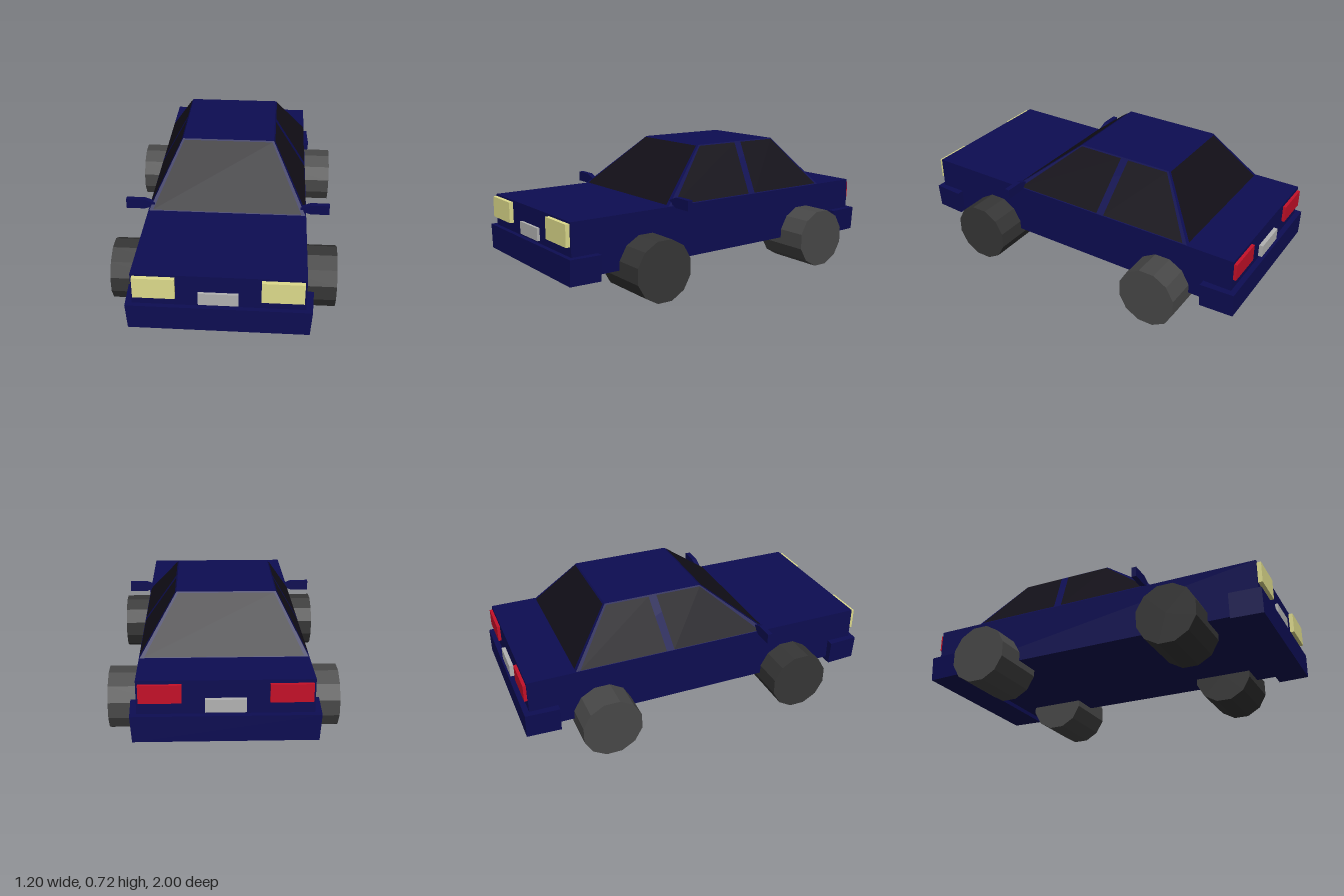
import * as THREE from 'three';

const mat = (color, side = THREE.FrontSide) =>
  new THREE.MeshStandardMaterial({ color, flatShading: true, side });

const paint = mat(0x0d0d52);
const glass = mat(0x120f18, THREE.DoubleSide);
const rubberFront = mat(0x363636);
const rubberRear = mat(0x484848);
const cream = mat(0xdedb8c);
const red = mat(0xc41028);
const plate = mat(0xb2b2b2);

export function createModel() {
  const car = new THREE.Group();
  car.name = 'car';

  const add = (name, geometry, material) => {
    const mesh = new THREE.Mesh(geometry, material);
    mesh.name = name;
    car.add(mesh);
    return mesh;
  };

  // Box given by its limits on each axis
  const block = (name, [x0, x1], [y0, y1], [z0, z1], material) => {
    const g = new THREE.BoxGeometry(x1 - x0, y1 - y0, z1 - z0);
    g.translate((x0 + x1) / 2, (y0 + y1) / 2, (z0 + z1) / 2);
    return add(name, g, material);
  };

  // Move every vertex of a mesh by a rule
  const reshape = (mesh, rule) => {
    const p = mesh.geometry.attributes.position;
    const v = new THREE.Vector3();
    for (let i = 0; i < p.count; i++) {
      rule(v.fromBufferAttribute(p, i));
      p.setXYZ(i, v.x, v.y, v.z);
    }
    mesh.geometry.computeVertexNormals();
  };

  // Lower body
  block('body', [-0.432, 0.432], [0.155, 0.443], [-0.97, 0.975], paint);

  // Cabin: a box narrowed to the roof outline
  const base = { x: [-0.43, 0.43], y: 0.44, z: [-0.71, 0.4] };
  const roof = { x: [-0.273, 0.243], y: 0.72, z: [-0.488, 0.058] };
  const cabin = block('cabin', base.x, [base.y, roof.y], base.z, paint);
  reshape(cabin, (v) => {
    if (v.y < 0.6) return;
    v.x = roof.x[v.x > 0 ? 1 : 0];
    v.z = roof.z[v.z > -0.15 ? 1 : 0];
  });

  // Cabin corner: xi and zi pick the side, level is the base or the roof
  const corner = (level, xi, zi) => new THREE.Vector3(level.x[xi], level.y, level.z[zi]);

  // Window on a cabin face running from corner a to corner b;
  // bottom and top give its start and end along the face
  const pane = (name, a, b, bottom, top) => {
    const at = (u, t) => corner(base, ...a).lerp(corner(base, ...b), u)
      .lerp(corner(roof, ...a).lerp(corner(roof, ...b), u), t);
    const q = [at(bottom[0], 0.02), at(bottom[1], 0.02), at(top[1], 0.975), at(top[0], 0.975)];
    const n = q[1].clone().sub(q[0]).cross(q[3].clone().sub(q[0])).normalize();
    q.forEach((p) => p.addScaledVector(n, 0.004));
    const g = new THREE.BufferGeometry().setFromPoints(q);
    g.setIndex([0, 1, 2, 0, 2, 3]);
    g.computeVertexNormals();
    add(name, g, glass);
  };
  pane('windshield', [0, 1], [1, 1], [0.025, 0.975], [0.025, 0.975]);
  pane('rearWindow', [1, 0], [0, 0], [0.025, 0.975], [0.025, 0.975]);
  pane('leftFrontWindow', [1, 1], [1, 0], [0.03, 0.5], [0.02, 0.475]);
  pane('leftBackWindow', [1, 1], [1, 0], [0.54, 0.98], [0.555, 0.98]);
  pane('rightFrontWindow', [0, 0], [0, 1], [0.5, 0.97], [0.525, 0.98]);
  pane('rightBackWindow', [0, 0], [0, 1], [0.02, 0.46], [0.02, 0.445]);

  // Bumpers, slightly narrower at the bottom and at the outer end
  for (const [name, z] of [['frontBumper', [0.83, 1]], ['rearBumper', [-1, -0.815]]]) {
    const bumper = block(name, [-0.473, 0.473], [0.13, 0.267], z, paint);
    reshape(bumper, (v) => {
      const inset = (v.y < 0.2 ? 0.009 : 0) + (Math.abs(v.z) > 0.9 ? 0.009 : 0);
      v.x -= Math.sign(v.x) * inset;
    });
  }

  // Lamps and plates
  for (const [side, x] of [['left', [0.212, 0.422]], ['right', [-0.422, -0.212]]]) {
    block(side + 'Headlight', x, [0.318, 0.433], [0.96, 0.998], cream);
    block(side + 'TailLight', x, [0.33, 0.425], [-0.987, -0.96], red);
  }
  block('frontPlate', [-0.1, 0.1], [0.282, 0.35], [0.96, 0.99], plate);
  block('rearPlate', [-0.1, 0.1], [0.282, 0.35], [-0.992, -0.96], plate);

  // Twelve-sided wheels with flats at top and bottom
  for (const [end, z, rubber] of [['front', 0.544, rubberFront], ['rear', -0.573, rubberRear]]) {
    for (const [side, s] of [['Left', 1], ['Right', -1]]) {
      const g = new THREE.CylinderGeometry(0.166, 0.166, 0.33, 12);
      g.rotateY(Math.PI / 12).rotateZ(Math.PI / 2);
      add(end + side + 'Wheel', g, rubber).position.set(s * 0.435, 0.161, z);
    }
  }

  // Wing mirrors tapering toward the door
  for (const [side, s] of [['left', 1], ['right', -1]]) {
    const outline = [[0.4, 0.458], [0.455, 0.437], [0.558, 0.437], [0.558, 0.493], [0.455, 0.493], [0.4, 0.472]];
    const shape = new THREE.Shape(outline.map(([x, y]) => new THREE.Vector2(s * x, y)));
    const g = new THREE.ExtrudeGeometry(shape, { depth: 0.028, bevelEnabled: false });
    add(side + 'Mirror', g.translate(0, 0, 0.342), paint);
  }

  return car;
}
